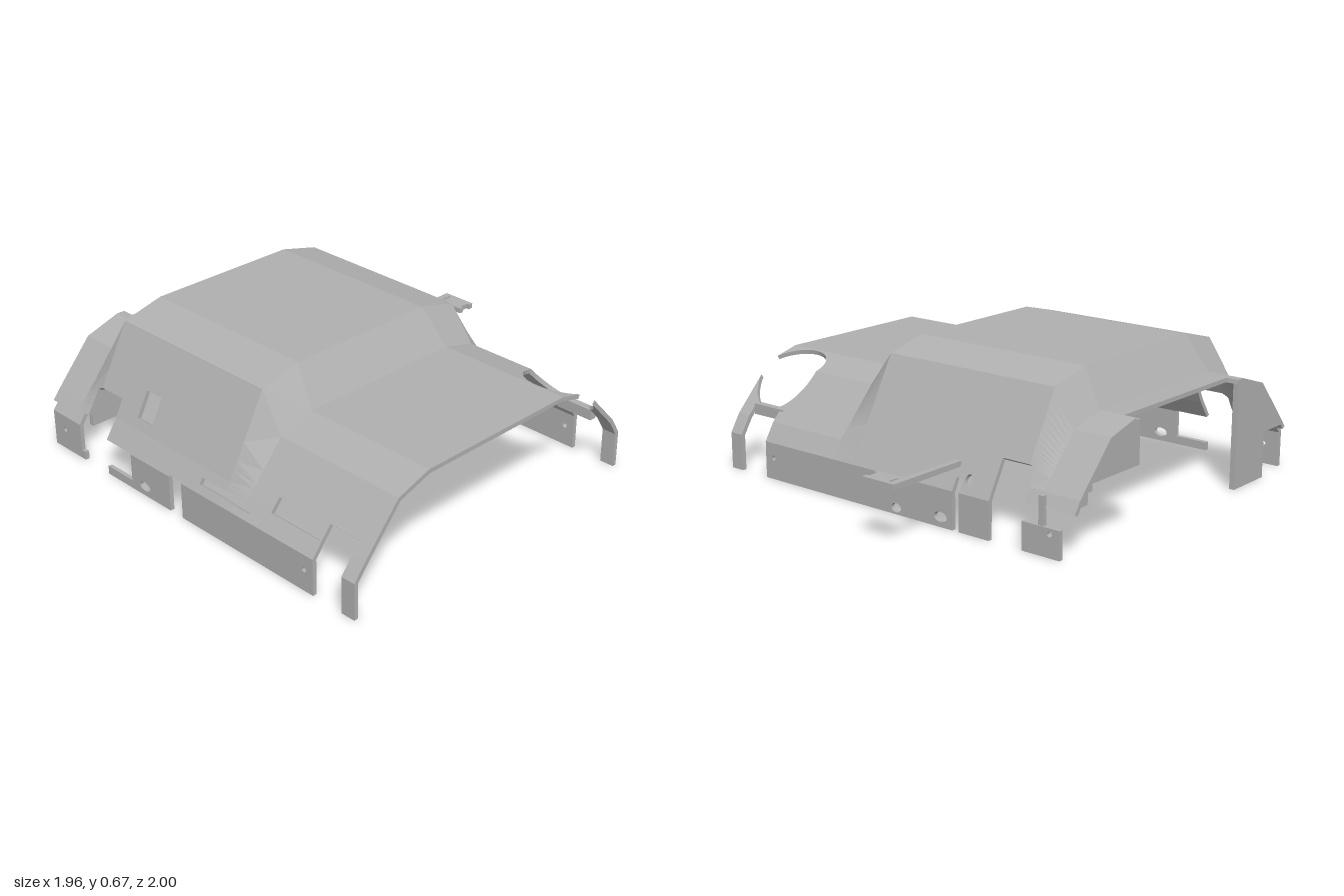
import * as THREE from 'three';

// Shell cross-sections [z, y] from front hem, over the roof, to rear hem
const LOW = [[1, 0], [1, 0.17], [0.94, 0.245], [0.76, 0.45], [0.59, 0.505], [-0.23, 0.505], [-0.4, 0.46], [-0.6, 0.25], [-0.65, 0.17], [-0.65, 0]];
const HIGH = [[1, 0], [1, 0.17], [0.94, 0.26], [0.75, 0.62], [0.55, 0.67], [-0.2, 0.67], [-0.4, 0.62], [-0.6, 0.26], [-0.65, 0.17], [-0.65, 0]];
const THICK = 0.02, LEFT = -0.98, RIGHT = 0.98;
const KNOTS = [-0.8, -0.7, 0.2, 0.32];   // cabin slope lines

// Inset a profile by the sheet thickness
function inset(p) {
  const normal = (i) => {
    const dz = p[i + 1][0] - p[i][0], dy = p[i + 1][1] - p[i][1], l = Math.hypot(dz, dy);
    return [-dy / l, dz / l];
  };
  return p.map((q, i) => {
    const a = normal(Math.max(i - 1, 0)), b = normal(Math.min(i, p.length - 2));
    const k = THICK / (1 + a[0] * b[0] + a[1] * b[1]);
    return [q[0] + (a[0] + b[0]) * k, q[1] + (a[1] + b[1]) * k];
  });
}
const LOW_IN = inset(LOW), HIGH_IN = inset(HIGH);

function along(p, s) {
  const i = Math.min(Math.floor(s), p.length - 2), t = s - i;
  return [0, 1].map((k) => p[i][k] * (1 - t) + p[i + 1][k] * t);
}

// Point on the shell at x and profile position s
function shellPoint(x, s, inner) {
  const h = THREE.MathUtils.clamp(Math.min((x + 0.8) / 0.1, (0.32 - x) / 0.12), 0, 1);
  const a = along(inner ? LOW_IN : LOW, s), b = along(inner ? HIGH_IN : HIGH, s);
  return [x, a[1] * (1 - h) + b[1] * h, a[0] * (1 - h) + b[0] * h];
}

// Profile position helpers
const front = (y) => y / 0.17;
const rear = (y) => 9 - y / 0.17;

// Openings: s range plus a function giving the x range at s
const cuts = [];
const breaks = new Set(LOW.map((_, i) => i));
function cut(x0, x1, a, b) {
  cuts.push({ a, b, range: () => [x0, x1] });
  breaks.add(a).add(b);
}
function round(x, s, rx, rs, steps = 10) {
  cuts.push({ a: s - rs, b: s + rs, range: (t) => {
    const w = rx * Math.sqrt(Math.max(0, 1 - ((t - s) / rs) ** 2));
    return [x - w, x + w];
  } });
  for (let i = 0; i <= steps; i++) breaks.add(s - rs * Math.cos(Math.PI * i / steps));
}

// Side outline
cut(LEFT, -0.95, 0, 1.4);
cut(LEFT, -0.92, 4.05, 5);
cut(LEFT, -0.73, 7.65, 9);
// Front notches and windows
cut(-0.73, -0.56, 0, 2.22);
cut(-0.755, -0.73, front(0.04), 1.55);
cut(0.75, 0.91, 0, 2.22);
cut(-0.56, -0.39, front(0.04), 1.03);
cut(-0.13, -0.05, 0, 1.06);
cut(-0.43, -0.33, 2.12, 2.43);
cut(0.05, 0.36, 1.33, 1.62);
cut(0.46, 0.74, 1.84, 2.2);
// Rear notches
cut(-0.73, -0.56, 6.8, 9);
cut(0.75, 0.91, 6.8, 9);
cut(-0.4, -0.365, 7.4, 9);
// Bolt holes
for (const x of [-0.87, 0.7]) round(x, front(0.1), 0.012, 0.07);
round(0.7, rear(0.1), 0.012, 0.07);
for (const s of [front(0.045), rear(0.045)]) round(-0.3, s, 0.035, 0.13);
round(-0.05, rear(0.03), 0.028, 0.12);
round(-0.43, 7.4, 0.02, 0.25);
// Large round opening at the rear corner
const ring = { a: 5.06, b: 6.8, range: (s) => {
  const w = Math.sqrt(Math.max(0, 0.16 ** 2 - (along(LOW, s)[0] + 0.4) ** 2));
  return [0.83 - w, Math.min(0.83 + w, RIGHT)];
} };
cuts.push(ring);
for (let i = 0; i <= 32; i++) breaks.add(ring.a + (ring.b - ring.a) * (1 - Math.cos(Math.PI * i / 32)) / 2);

function shellGeometry() {
  const pos = [];
  const quad = (a, b, c, d) => pos.push(...a, ...b, ...c, ...a, ...c, ...d);
  // One sheet cell between x pairs l and r at s[0] and s[1]
  const cell = (l, r, s) => {
    const [o, n] = [false, true].map((inner) => [
      shellPoint(l[0], s[0], inner), shellPoint(r[0], s[0], inner),
      shellPoint(r[1], s[1], inner), shellPoint(l[1], s[1], inner)]);
    quad(...o);
    quad(n[3], n[2], n[1], n[0]);
    for (let i = 0; i < 4; i++) {
      const j = (i + 1) % 4;
      quad(o[j], o[i], n[i], n[j]);
    }
  };
  const span = (l, r, s) => {
    if (r[0] - l[0] < 1e-5 && r[1] - l[1] < 1e-5) return;
    let from = l;
    for (const k of [...KNOTS, Infinity]) {
      const to = [0, 1].map((i) => THREE.MathUtils.clamp(k, l[i], r[i]));
      if (to[0] - from[0] > 1e-5 || to[1] - from[1] > 1e-5) cell(from, to, s);
      from = to;
    }
  };
  const rows = [...breaks].sort((a, b) => a - b).filter((v, i, arr) => i === 0 || v - arr[i - 1] > 1e-6);
  for (let i = 0; i < rows.length - 1; i++) {
    const s = [rows[i], rows[i + 1]], mid = (s[0] + s[1]) / 2;
    const open = cuts.filter((c) => c.a < mid && c.b > mid).sort((p, q) => p.range(mid)[0] - q.range(mid)[0]);
    let from = [LEFT, LEFT];
    for (const c of open) {
      const e = s.map((v) => c.range(v));
      if (e[0][0] + e[1][0] > from[0] + from[1]) span(from, [e[0][0], e[1][0]], s);
      from = [Math.max(from[0], e[0][1]), Math.max(from[1], e[1][1])];
    }
    span(from, [RIGHT, RIGHT], s);
  }
  const g = new THREE.BufferGeometry();
  g.setAttribute('position', new THREE.Float32BufferAttribute(pos, 3));
  g.computeVertexNormals();
  return g;
}

export function createModel() {
  const group = new THREE.Group();
  const grey = new THREE.MeshStandardMaterial({ color: 0xb0b0b0 });
  grey.name = 'grey';
  const add = (name, geometry) => {
    const m = new THREE.Mesh(geometry, grey);
    m.name = name;
    group.add(m);
    return m;
  };
  const box = (name, x0, x1, y0, y1, z0, z1) =>
    add(name, new THREE.BoxGeometry(x1 - x0, y1 - y0, z1 - z0)).position.set((x0 + x1) / 2, (y0 + y1) / 2, (z0 + z1) / 2);
  const outline = (pts) => new THREE.Shape(pts.map((p) => new THREE.Vector2(...p)));
  const extrude = (shape, depth) => new THREE.ExtrudeGeometry(shape, { depth, bevelEnabled: false });

  add('shell', shellGeometry());

  // Side plates hanging under the shell, drawn as [z, y]
  const sidePlate = (name, pts) => {
    const m = add(name, extrude(outline(pts.map(([z, y]) => [-z, y])), 0.025));
    m.rotation.y = Math.PI / 2;
    m.position.x = LEFT;
  };
  sidePlate('frontSidePlate', [[0.55, 0], [0.79, 0], [0.79, 0.215], [0.94, 0.215], [0.75, 0.44], [0.58, 0.495], [0.55, 0.495]]);
  sidePlate('rearSidePlate', [[-0.2, 0.3], [-0.52, 0.3], [-0.52, 0.27], [-0.55, 0.27], [-0.55, 0.22], [-0.6, 0.22], [-0.59, 0.25], [-0.4, 0.45], [-0.23, 0.495], [-0.2, 0.495]]);

  // Rear corner plate on its post
  const plate = outline([[-0.92, 0], [-0.73, 0], [-0.73, 0.125], [-0.92, 0.125]]);
  plate.holes.push(new THREE.Path().absarc(-0.87, 0.1, 0.012, 0, Math.PI * 2, true));
  add('rearCornerPlate', extrude(plate, 0.02)).position.z = -0.65;
  box('rearCornerPost', -0.835, -0.81, 0.12, 0.25, -0.645, -0.625);

  // Crossbar behind the round opening
  box('rearCrossbar', 0.73, 0.915, 0.25, 0.3, -0.56, -0.525);

  // Bracket arm reaching out behind, drawn as [x, -z]
  const bracket = outline([[-0.365, 0.59], [-0.335, 0.59], [-0.335, 0.91], [-0.195, 0.91], [-0.195, 0.93], [-0.21, 0.93],
    [-0.21, 0.975], [-0.195, 0.975], [-0.195, 1], [-0.365, 1]]);
  bracket.holes.push(new THREE.Path([[-0.332, 0.93], [-0.32, 0.93], [-0.32, 0.98], [-0.332, 0.98]].map((p) => new THREE.Vector2(...p))));
  const arm = add('bracketArm', extrude(bracket, 0.025));
  arm.rotation.x = -Math.PI / 2;
  arm.position.y = 0.263;

  return group;
}
